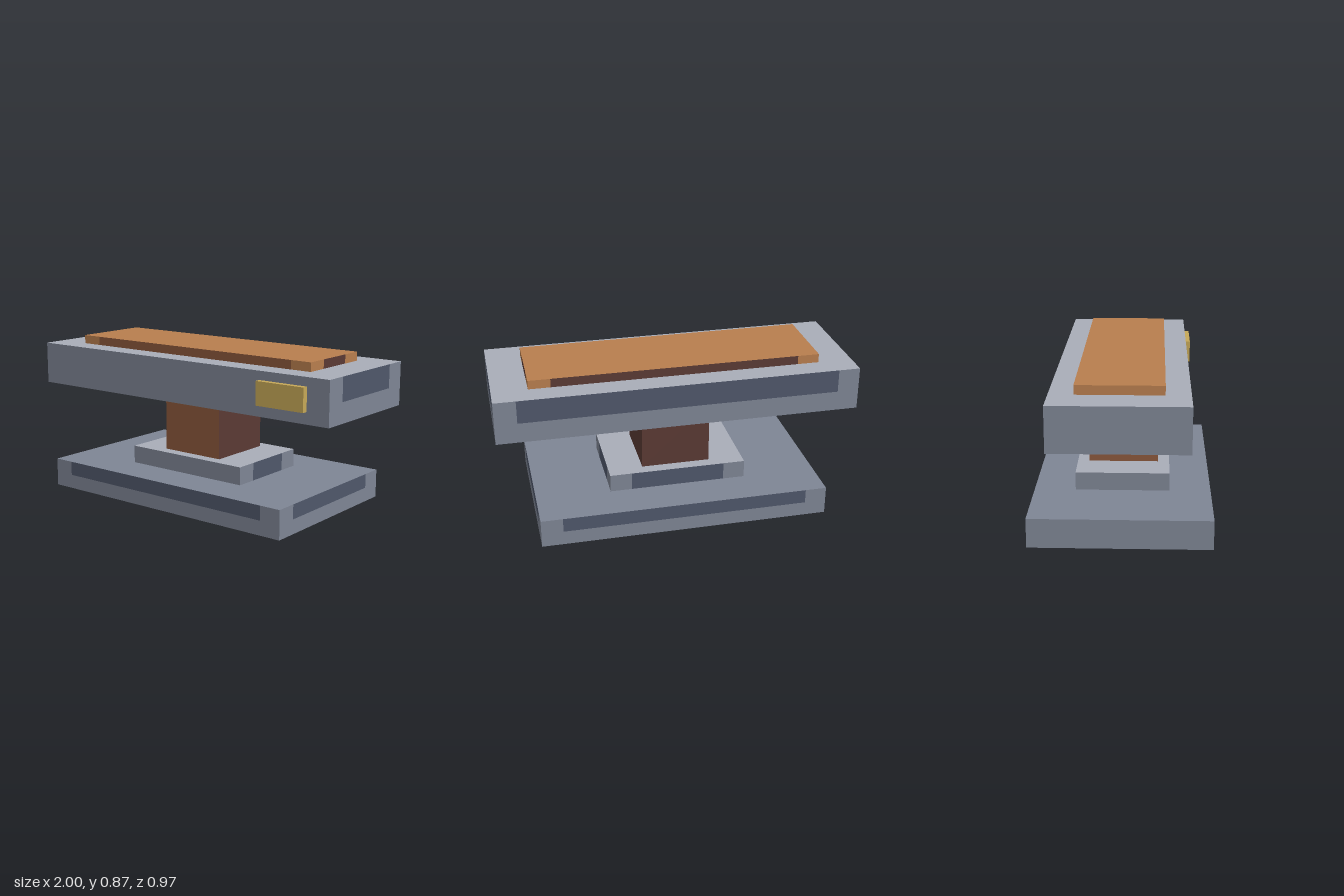
import * as THREE from 'three';

const paint = (name, color, side = THREE.DoubleSide) => {
  const m = new THREE.MeshStandardMaterial({ color, side });
  m.name = name;
  return m;
};

export function createModel() {
  const midGrey = paint('midGrey', 0x7e8594);
  const darkGrey = paint('darkGrey', 0x4f576a);
  const lightGrey = paint('lightGrey', 0xa9adb8);
  const orange = paint('orange', 0xb87e4e);
  const midBrown = paint('midBrown', 0x8b583b);
  const darkBrown = paint('darkBrown', 0x5a3a34);
  const gold = paint('gold', 0xc6a857, THREE.FrontSide);

  const model = new THREE.Group();
  model.name = 'steppedAnvil';

  // Flat rectangle from (u0, v0) to (u1, v1) in the plane of its parent wall
  function rect(parent, name, u0, u1, v0, v1, material) {
    if (u1 - u0 < 1e-4 || v1 - v0 < 1e-4) return;
    const geo = new THREE.PlaneGeometry(u1 - u0, v1 - v0);
    geo.translate((u0 + u1) / 2, (v0 + v1) / 2, 0);
    const mesh = new THREE.Mesh(geo, material);
    mesh.name = name;
    parent.add(mesh);
  }

  // Thin-walled block, open underneath. Each side is { color, inset: { half, from, color } },
  // where the inset is a centred band running from height `from` to the top edge.
  function block(name, hx, hz, y0, y1, top, sides) {
    const group = new THREE.Group();
    group.name = name;
    model.add(group);

    const lid = new THREE.Group();
    lid.name = name + 'Top';
    lid.rotation.x = -Math.PI / 2;
    lid.position.y = y1;
    rect(lid, name + 'TopFace', -hx, hx, -hz, hz, top);
    group.add(lid);

    // Order: front, left (+x), back, right (-x)
    ['Front', 'Left', 'Back', 'Right'].forEach((label, i) => {
      const half = i % 2 ? hz : hx;
      const depth = i % 2 ? hx : hz;
      const turn = (i * Math.PI) / 2;
      const { color, inset } = sides[i];
      const wall = new THREE.Group();
      wall.name = name + label;
      wall.rotation.y = turn;
      wall.position.set(Math.sin(turn) * depth, 0, Math.cos(turn) * depth);
      if (inset) {
        rect(wall, name + label + 'Inset', -inset.half, inset.half, inset.from, y1, inset.color);
        rect(wall, name + label + 'EndA', -half, -inset.half, inset.from, y1, color);
        rect(wall, name + label + 'EndB', inset.half, half, inset.from, y1, color);
        rect(wall, name + label + 'Lower', -half, half, y0, inset.from, color);
      } else {
        rect(wall, name + label + 'Face', -half, half, y0, y1, color);
      }
      group.add(wall);
    });
  }

  const plain = (color) => ({ color });
  const banded = (color, half, from, bandColor) => ({ color, inset: { half, from, color: bandColor } });

  // Foot and the step above it
  block('base', 0.805, 0.483, 0, 0.16, midGrey, [
    banded(midGrey, 0.685, 0.08, darkGrey), banded(midGrey, 0.362, 0.08, darkGrey),
    banded(midGrey, 0.685, 0.08, darkGrey), plain(midGrey),
  ]);
  block('step', 0.387, 0.257, 0.16, 0.26, lightGrey, [
    plain(midGrey), banded(midGrey, 0.137, 0.16, darkGrey),
    banded(midGrey, 0.265, 0.16, darkGrey), plain(midGrey),
  ]);

  // Post, reaching slightly into the hollow slab
  block('post', 0.193, 0.193, 0.26, 0.615, midBrown, [
    plain(midBrown), plain(darkBrown), plain(darkBrown), plain(midBrown),
  ]);

  // Wide upper slab and the plate on it
  block('slab', 1, 0.355, 0.583, 0.823, lightGrey, [
    plain(midGrey), banded(midGrey, 0.234, 0.694, darkGrey),
    banded(midGrey, 0.88, 0.694, darkGrey), plain(midGrey),
  ]);
  block('topPlate', 0.805, 0.226, 0.823, 0.872, orange, [
    banded(orange, 0.685, 0.823, midBrown), banded(orange, 0.105, 0.823, darkBrown),
    banded(orange, 0.685, 0.823, darkBrown), plain(orange),
  ]);

  // Small plaque set through the front wall of the slab
  const plaque = new THREE.Mesh(new THREE.BoxGeometry(0.29, 0.128, 0.037), gold);
  plaque.name = 'plaque';
  plaque.position.set(0.724, 0.711, 0.3685);
  model.add(plaque);

  return model;
}
